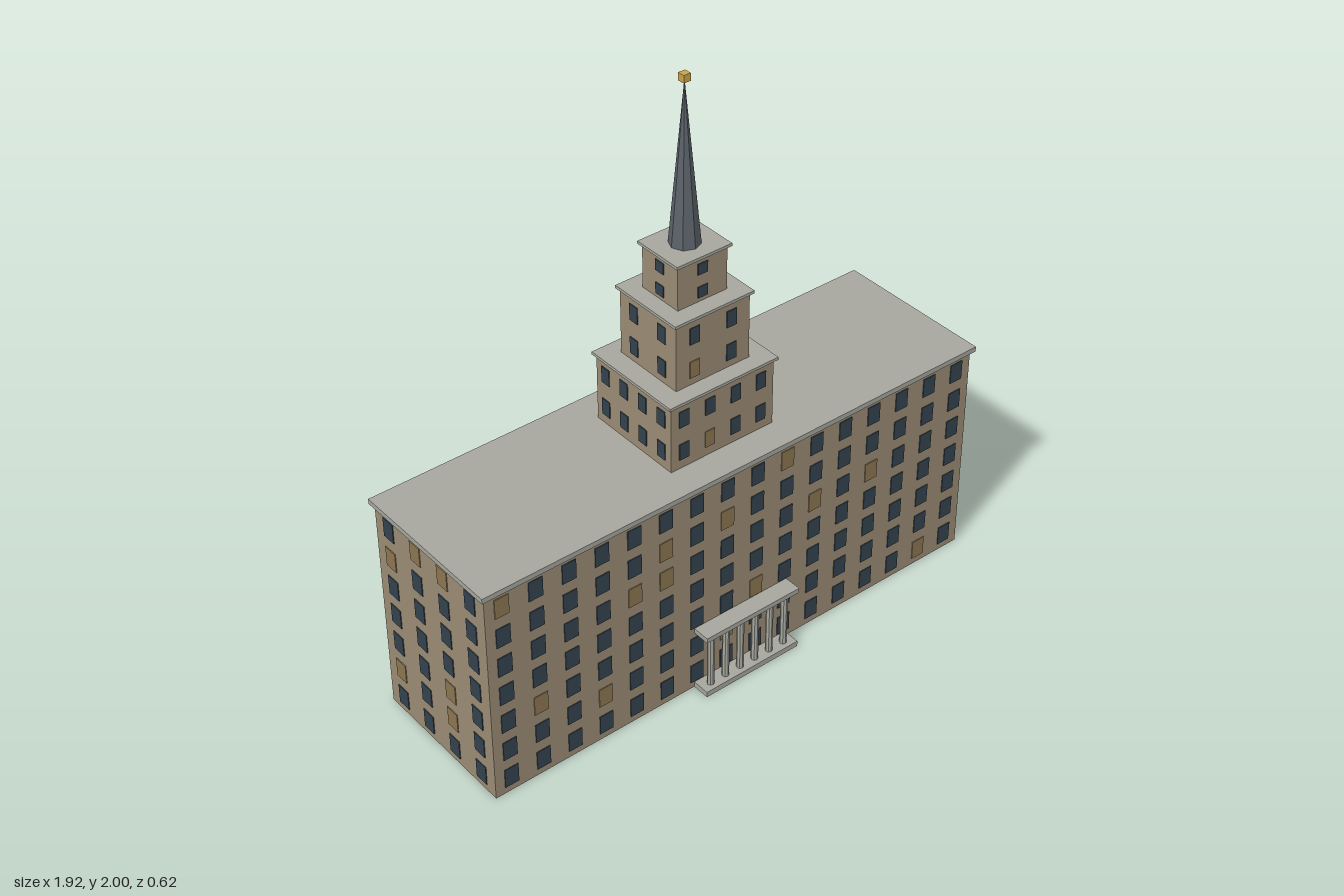
import * as THREE from 'three';

const CZ = -0.025; // depth centre of the main block and tower
const mat = (color) => new THREE.MeshStandardMaterial({ color, flatShading: true });
const wall = mat(0x9a8b74), trim = mat(0xa6a69e), slate = mat(0x5a6268);
const gold = mat(0xc9a24a), darkGlass = mat(0x33424e), litGlass = mat(0x8a7550);

function box(parent, name, material, w, h, d, x, y, z) {
  const m = new THREE.Mesh(new THREE.BoxGeometry(w, h, d), material);
  m.name = name;
  m.position.set(x, y, z);
  parent.add(m);
  return m;
}

// Small repeatable scatter for the lit windows
let seed = 7;
function rand() {
  seed = (seed * 16807) % 2147483647;
  return seed / 2147483647;
}

// One facade's window grid; lit holds "row,column" keys, or is scattered if missing
function windowGrid(name, width, cols, rows, w, h, lit) {
  const g = new THREE.Group();
  g.name = name;
  rows.forEach((y, r) => {
    for (let c = 0; c < cols; c++) {
      const on = lit ? lit.includes(`${r},${c}`) : rand() < 0.13;
      box(g, on ? 'litWindow' : 'window', on ? litGlass : darkGlass,
        w, h, 0.006, ((c + 0.5) / cols - 0.5) * width, y, 0);
    }
  });
  return g;
}

// A storey block: walls, overhanging roof slab and windows on all four sides
function block(name, o) {
  const g = new THREE.Group();
  g.name = name;
  g.position.z = CZ;
  const { w, d, y0, y1, over, slab } = o;
  box(g, 'walls', wall, w, y1 - y0, d, 0, (y0 + y1) / 2, 0);
  box(g, 'roofSlab', trim, w + 2 * over, slab, d + 2 * over, 0, y1 - slab / 2 + 0.004, 0);
  ['front', 'right', 'back', 'left'].forEach((side, i) => {
    const wide = i % 2 === 0;
    const grid = windowGrid(side + 'Windows', wide ? w : d, wide ? o.cols : o.sideCols,
      o.rows, o.win[0], o.win[1], o.lit[i]);
    const holder = new THREE.Group();
    grid.position.z = (wide ? d : w) / 2;
    holder.rotation.y = i * Math.PI / 2;
    holder.add(grid);
    g.add(holder);
  });
  return g;
}

export function createModel() {
  const model = new THREE.Group();
  model.name = 'towerBuilding';

  // Main block
  model.add(block('mainBlock', {
    w: 1.9, d: 0.55, y0: 0, y1: 0.795, over: 0.0125, slab: 0.018, cols: 16, sideCols: 4,
    rows: Array.from({ length: 7 }, (_, i) => 0.06 + i * 0.111), win: [0.05, 0.07],
    lit: [
      ['6,0', '6,9', '5,5', '5,7', '4,4', '4,5', '4,10', '4,12', '2,1', '2,8', '1,3', '1,7', '0,14'],
      ['6,0', '5,1', '4,0', '4,1', '4,2', '3,1', '3,2', '3,3', '0,1', '0,2'],
    ],
  }));

  // Stepped tower
  model.add(block('lowerTier', {
    w: 0.396, d: 0.356, y0: 0.795, y1: 1.04, over: 0.01, slab: 0.01, cols: 4, sideCols: 4,
    rows: [0.86, 0.979], win: [0.037, 0.058], lit: [['0,1'], []],
  }));
  model.add(block('middleTier', {
    w: 0.28, d: 0.262, y0: 1.04, y1: 1.28, over: 0.01, slab: 0.01, cols: 2, sideCols: 2,
    rows: [1.098, 1.217], win: [0.037, 0.058], lit: [['0,0'], ['0,1']],
  }));
  model.add(block('upperTier', {
    w: 0.186, d: 0.164, y0: 1.28, y1: 1.44, over: 0.01, slab: 0.01, cols: 1, sideCols: 1,
    rows: [1.317, 1.397], win: [0.037, 0.038], lit: [[], [], [], []],
  }));

  // Spire and finial
  const spire = new THREE.Mesh(new THREE.ConeGeometry(0.05, 0.545, 8), slate);
  spire.name = 'spire';
  spire.position.set(0, 1.44 + 0.2725, CZ);
  model.add(spire);
  box(model, 'finial', gold, 0.025, 0.025, 0.025, 0, 1.9875, CZ);

  // Entrance portico
  const portico = new THREE.Group();
  portico.name = 'portico';
  box(portico, 'step', trim, 0.375, 0.02, 0.0625, 0, 0.01, 0.28125);
  box(portico, 'canopy', trim, 0.375, 0.018, 0.0625, 0, 0.234, 0.28125);
  for (let i = 0; i < 6; i++) {
    const col = new THREE.Mesh(new THREE.CylinderGeometry(0.012, 0.012, 0.205, 8), trim);
    col.name = 'column';
    col.position.set(-0.15 + i * 0.06, 0.1225, 0.285);
    portico.add(col);
  }
  model.add(portico);
  return model;
}
